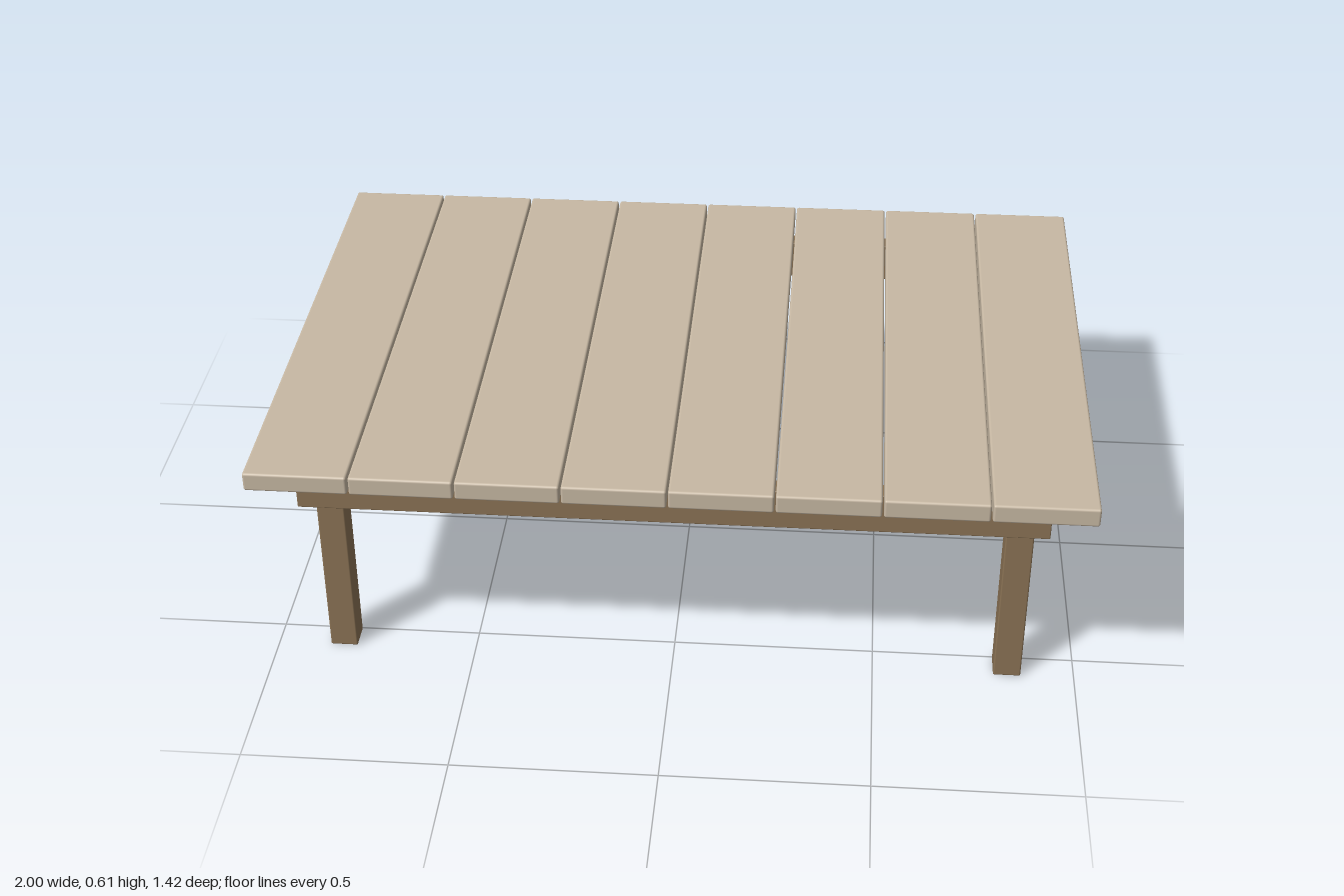
import * as THREE from 'three';
import { RoundedBoxGeometry } from 'three/addons/geometries/RoundedBoxGeometry.js';

export function createModel() {
  const table = new THREE.Group();
  table.name = 'plankTable';

  const paleWood = new THREE.MeshStandardMaterial({ color: 0xc8b9a4 });
  paleWood.name = 'paleWood';
  const brownWood = new THREE.MeshStandardMaterial({ color: 0x8b7355 });
  brownWood.name = 'brownWood';

  // Softly edged board spanning the given min/max corners
  function board(name, material, [x0, y0, z0], [x1, y1, z1], radius) {
    const geometry = new RoundedBoxGeometry(x1 - x0, y1 - y0, z1 - z0, 2, radius);
    const mesh = new THREE.Mesh(geometry, material);
    mesh.position.set((x0 + x1) / 2, (y0 + y1) / 2, (z0 + z1) / 2);
    mesh.name = name;
    table.add(mesh);
  }

  // Top: eight planks with hairline gaps
  const count = 8, gap = 0.004;
  const width = (2 - gap * (count - 1)) / count;
  for (let i = 0; i < count; i++) {
    const x = -1 + i * (width + gap);
    board(`plank${i + 1}`, paleWood, [x, 0.565, -0.71], [x + width, 0.613, 0.71], 0.006);
  }

  // Long rails under the planks, outside the legs
  board('frontRail', brownWood, [-0.9, 0.46, 0.573], [0.9, 0.565, 0.621], 0.003);
  board('backRail', brownWood, [-0.9, 0.46, -0.633], [0.9, 0.565, -0.585], 0.003);

  // Four square legs
  for (const [side, x] of [['right', -0.834], ['left', 0.834]]) {
    for (const [end, z] of [['Front', 0.537], ['Back', -0.543]]) {
      board(`${side}${end}Leg`, brownWood,
        [x - 0.034, 0, z - 0.034], [x + 0.034, 0.565, z + 0.034], 0.004);
    }
  }
  return table;
}
